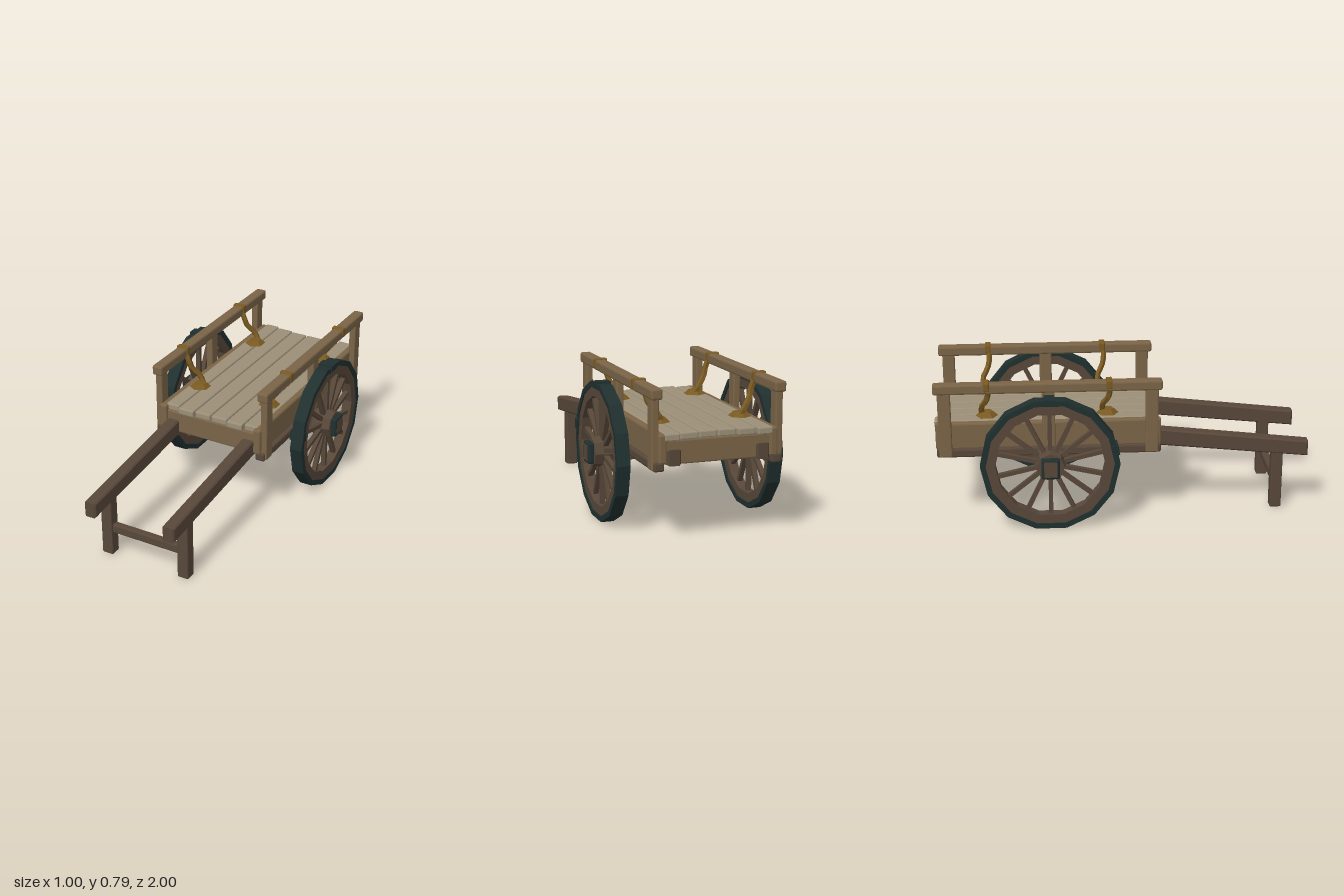
import * as THREE from 'three';
import { RoundedBoxGeometry } from 'three/addons/geometries/RoundedBoxGeometry.js';

const paint = (name, color) => {
  const m = new THREE.MeshStandardMaterial({ color, flatShading: true });
  m.name = name;
  return m;
};

export function createModel() {
  const deckWood = paint('pale deck wood', 0x9b8f78);
  const frameWood = paint('brown frame wood', 0x7a6447);
  const darkWood = paint('dark wood', 0x574739);
  const iron = paint('blue black iron', 0x20302f);
  const brass = paint('old brass', 0x7a5a22);

  const cart = new THREE.Group();
  cart.name = 'handcart';

  const add = (parent, name, geometry, material) => {
    const mesh = new THREE.Mesh(geometry, material);
    mesh.name = name;
    parent.add(mesh);
    return mesh;
  };

  // Chamfered block given by its limits on each axis
  const block = (parent, name, material, [x0, x1], [y0, y1], [z0, z1], r = 0.007) => {
    const mesh = add(parent, name, new RoundedBoxGeometry(x1 - x0, y1 - y0, z1 - z0, 1, r), material);
    mesh.position.set((x0 + x1) / 2, (y0 + y1) / 2, (z0 + z1) / 2);
    return mesh;
  };

  // Profile drawn in (z, y), extruded along x and centred on x = 0
  const sideExtrude = (shape, width, bevel) => {
    const g = new THREE.ExtrudeGeometry(shape, {
      depth: width - 2 * bevel, bevelEnabled: bevel > 0, bevelSize: bevel,
      bevelThickness: bevel, bevelOffset: -bevel, bevelSegments: 1,
    });
    g.translate(0, 0, bevel - width / 2);
    return g.rotateY(-Math.PI / 2);
  };

  // Deck planks with slightly uneven ends
  const plankEnds = [[-0.975, 0.18], [-0.985, 0.19], [-1, 0.172]];
  for (const s of [-1, 1]) {
    plankEnds.forEach((ends, i) => {
      const a = i * 0.1 + 0.003;
      const b = i === 2 ? 0.282 : a + 0.094;
      block(cart, 'deckPlank', deckWood, s > 0 ? [a, b] : [-b, -a], [0.522, 0.561], ends, 0.008);
    });
  }

  // Cross beams and end boards
  for (const z of [-0.92, -0.57, -0.23, 0.115])
    block(cart, 'crossBeam', darkWood, [-0.275, 0.275], [0.45, 0.524], [z - 0.035, z + 0.035]);
  block(cart, 'frontBoard', frameWood, [-0.275, 0.275], [0.405, 0.526], [0.15, 0.182]);
  block(cart, 'backBoard', frameWood, [-0.275, 0.275], [0.405, 0.526], [-0.985, -0.953]);

  // Shaft profile: sloping handle that levels out under the deck
  const shaftShape = new THREE.Shape([
    [1, 0.3], [1, 0.385], [0.17, 0.48], [-0.998, 0.48], [-0.998, 0.4], [0.2, 0.385],
  ].map(([z, y]) => new THREE.Vector2(z, y)));
  const shaftGeometry = sideExtrude(shaftShape, 0.068, 0.008);

  for (const s of [-1, 1]) {
    const X = (a, b) => (s > 0 ? [a, b] : [-b, -a]);
    const side = new THREE.Group();
    side.name = s > 0 ? 'leftSide' : 'rightSide';
    cart.add(side);

    // Side panel, sill, posts and top rail
    block(side, 'sideBoard', frameWood, X(0.268, 0.312), [0.41, 0.557], [-0.995, 0.196], 0.01);
    block(side, 'lowerRail', darkWood, X(0.28, 0.336), [0.373, 0.421], [-0.99, 0.193], 0.01);
    for (const [z, bottom] of [[0.145, 0.378], [-0.4, 0.4], [-0.943, 0.378]])
      block(side, 'railPost', frameWood, X(0.304, 0.343), [bottom, 0.745], [z - 0.034, z + 0.034]);
    block(side, 'topRail', frameWood, X(0.292, 0.352), [0.728, 0.783], [-0.998, 0.198], 0.01);

    // Shaft and prop leg
    add(side, 'shaft', shaftGeometry, darkWood).position.x = s * 0.232;
    block(side, 'propLeg', darkWood, X(0.198, 0.262), [0, 0.345], [0.803, 0.865]);

    // Brass tie hooks running from the deck to the rail
    for (const z of [-0.085, -0.725]) {
      const hook = new THREE.Group();
      hook.name = 'tieHook';
      side.add(hook);
      const flange = add(hook, 'hookFlange', new THREE.CylinderGeometry(0.034, 0.06, 0.024, 6), brass);
      flange.position.set(s * 0.218, 0.577, z);
      const path = new THREE.CatmullRomCurve3([
        [0.213, 0.575, z - 0.025], [0.235, 0.615, z - 0.028],
        [0.272, 0.665, z], [0.285, 0.71, z + 0.01], [0.305, 0.755, z + 0.008],
      ].map(([x, y, d]) => new THREE.Vector3(s * x, y, d)));
      add(hook, 'hookArm', new THREE.TubeGeometry(path, 7, 0.016, 5), brass);
      block(hook, 'railClip', brass, X(0.286, 0.357), [0.742, 0.79], [z - 0.012, z + 0.02], 0.006);
    }
    cart.add(makeWheel(s));
  }

  block(cart, 'legCrossbar', darkWood, [-0.205, 0.205], [0.132, 0.181], [0.812, 0.852]);
  block(cart, 'axle', darkWood, [-0.475, 0.475], [0.31, 0.41], [-0.442, -0.355]);

  // Fourteen-sided wheel, mirrored by the side sign
  function makeWheel(s) {
    const N = 14;
    const wheel = new THREE.Group();
    wheel.name = s > 0 ? 'leftWheel' : 'rightWheel';
    wheel.position.set(s * 0.412, 0.358, -0.397);

    const ring = (outer, inner) => {
      const points = (r) => Array.from({ length: N }, (_, i) => {
        const a = (i / N) * Math.PI * 2;
        return new THREE.Vector2(r * Math.cos(a), r * Math.sin(a));
      });
      const shape = new THREE.Shape(points(outer));
      shape.holes.push(new THREE.Path(points(inner)));
      return shape;
    };
    add(wheel, 'tyre', sideExtrude(ring(0.367, 0.338), 0.069, 0), iron);
    add(wheel, 'rim', sideExtrude(ring(0.34, 0.288), 0.056, 0), darkWood);

    // Spokes
    for (let i = 0; i < N; i++) {
      const a = ((i + 0.5) / N) * Math.PI * 2;
      const spoke = add(wheel, 'spoke', new THREE.BoxGeometry(0.026, 0.24, 0.022), darkWood);
      spoke.position.set(0, 0.18 * Math.cos(a + Math.PI / N), 0.18 * Math.sin(a + Math.PI / N));
      spoke.rotation.x = a + Math.PI / N;
    }

    // Tyre clamps on the top and front facets
    for (const a of [0, (3 / N) * Math.PI * 2]) {
      const clamp = add(wheel, 'tyreClamp', new THREE.BoxGeometry(0.082, 0.036, 0.055), iron);
      clamp.position.set(0, 0.35 * Math.cos(a), 0.35 * Math.sin(a));
      clamp.rotation.x = a;
    }

    // Hub and square iron axle cap
    const hub = add(wheel, 'hub', new THREE.CylinderGeometry(0.075, 0.09, 0.1, 8), darkWood);
    hub.rotation.z = -s * Math.PI / 2;
    hub.position.x = s * 0.008;
    const cap = add(wheel, 'axleCap', new RoundedBoxGeometry(0.036, 0.112, 0.096, 1, 0.01), iron);
    cap.position.x = s * 0.07;
    const plate = add(wheel, 'axleEnd', new THREE.BoxGeometry(0.004, 0.085, 0.068), darkWood);
    plate.position.x = s * 0.0865;
    return wheel;
  }

  return cart;
}
